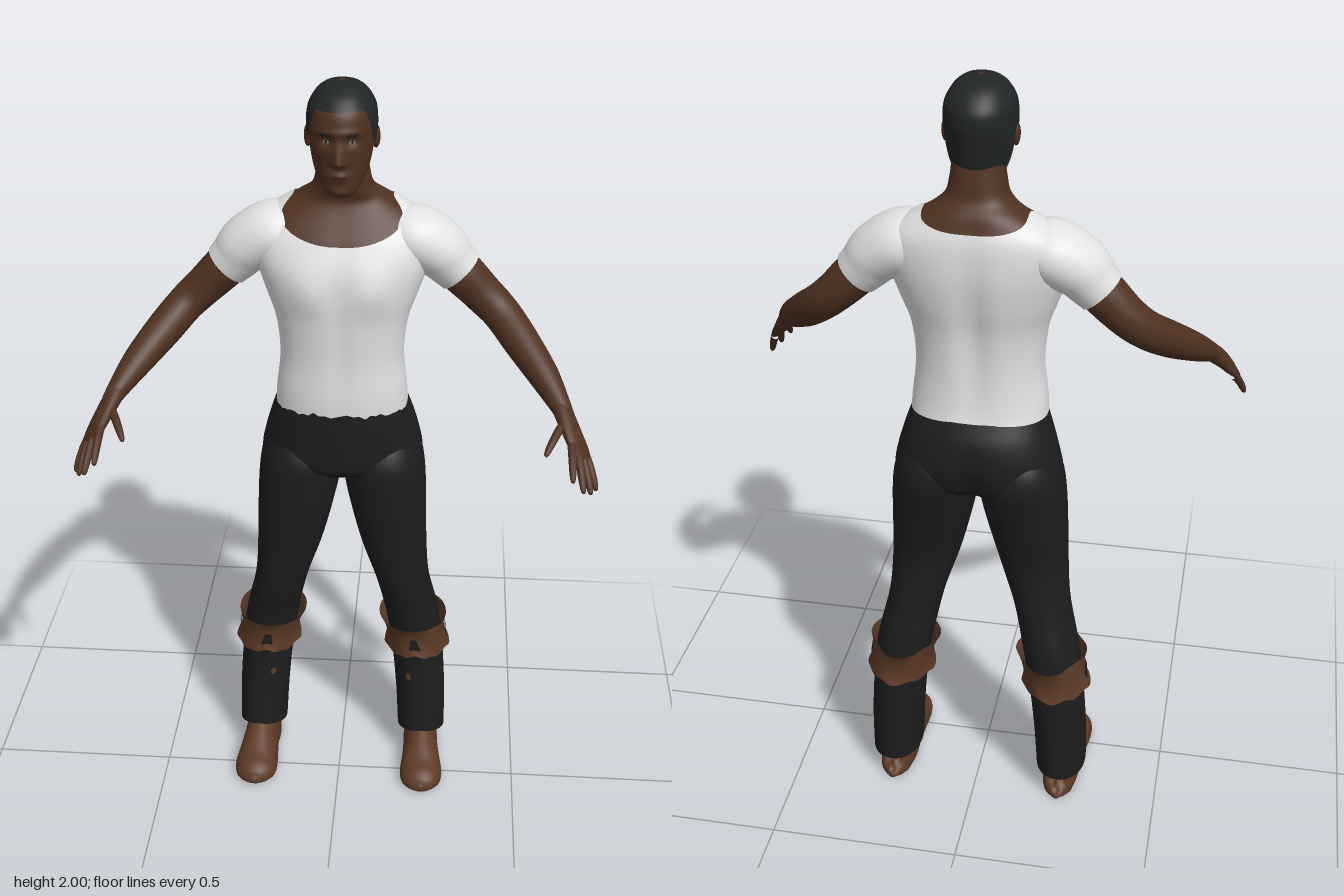
import * as THREE from 'three';

const mat = (name, color, side = THREE.FrontSide) => {
  const m = new THREE.MeshStandardMaterial({ color, side });
  m.name = name;
  return m;
};
const skin = mat('skin', 0x4f3121);
const white = mat('white cotton', 0xe2e2e2, THREE.DoubleSide);
const black = mat('black cloth', 0x1d1d1e, THREE.DoubleSide);
const hairMat = mat('hair', 0x222526);
const leather = mat('brown leather', 0x5c3a27, THREE.DoubleSide);
const lip = mat('lips', 0x3c2219);
const eyeMat = mat('eyes', 0x8d7c6c);

const TAU = Math.PI * 2;
const bell = (d, w) => Math.exp(-(d / w) * (d / w));
const spow = (c, e) => Math.sign(c) * Math.abs(c) ** e;
const pos = (v) => Math.max(0, v);

// Closed-round grid from fn(u, v) -> [x, y, z]; sx = -1 mirrors it
function grid(name, material, fn, nu, nv, sx = 1) {
  const p = [], idx = [];
  for (let j = 0; j <= nv; j++) for (let i = 0; i < nu; i++) {
    const [x, y, z] = fn(i / nu, j / nv);
    p.push(x * sx, y, z);
  }
  for (let j = 0; j < nv; j++) for (let i = 0; i < nu; i++) {
    const a = j * nu + i, b = j * nu + (i + 1) % nu, c = b + nu, d = a + nu;
    if (sx > 0) idx.push(a, b, d, b, c, d);
    else idx.push(a, d, b, b, d, c);
  }
  const g = new THREE.BufferGeometry();
  g.setAttribute('position', new THREE.Float32BufferAttribute(p, 3));
  g.setIndex(idx);
  g.computeVertexNormals();
  const mesh = new THREE.Mesh(g, material);
  mesh.name = name;
  return mesh;
}

// Smooth curve through rows of numbers; key(k) is the parameter of row k
function spline(S, t, key) {
  const n = S.length - 1;
  let k = 0;
  while (k < n - 1 && t > key(k + 1)) k++;
  const h = key(k + 1) - key(k), s = THREE.MathUtils.clamp((t - key(k)) / h, 0, 1);
  const slope = (m, c) => {
    const a = Math.max(0, m - 1), b = Math.min(n, m + 1);
    return (S[b][c] - S[a][c]) / (key(b) - key(a));
  };
  return S[0].map((_, c) => {
    const s2 = s * s, s3 = s2 * s;
    return S[k][c] * (2 * s3 - 3 * s2 + 1) + S[k + 1][c] * (3 * s2 - 2 * s3)
      + h * (slope(k, c) * (s3 - 2 * s2 + s) + slope(k + 1, c) * (s3 - s2));
  });
}

// Upright surface from rows [y, xMin, xMax, zFront, zBack], angle 0 at the front
const upright = (S, e, sculpt) => (th, y, off = 0) => {
  const [, x0, x1, zf, zb] = spline(S, y, (k) => S[k][0]);
  const x = (x0 + x1) / 2 + ((x1 - x0) / 2 + off) * spow(Math.sin(th), e);
  const z = (zf + zb) / 2 + ((zf - zb) / 2 + off) * spow(Math.cos(th), e);
  return [x, y, z + (sculpt ? sculpt(x, y, Math.cos(th)) : 0)];
};
const wrap = (name, m, surf, lo, hi, off, nv, sx = 1, ease = (v) => v) =>
  grid(name, m, (u, v) => {
    const th = u * TAU, a = lo(th), b = hi(th);
    return surf(th, a + (b - a) * ease(v), off);
  }, 72, nv, sx);

// Thin patch lying on an upright surface
function decal(name, m, surf, th, y, dth, dy, sides, off, sx = 1) {
  const g = new THREE.CircleGeometry(1, sides), p = g.attributes.position;
  for (let i = 0; i < p.count; i++) {
    const q = surf(th + p.getX(i) * dth, y + p.getY(i) * dy, off);
    p.setXYZ(i, q[0] * sx, q[1], q[2]);
  }
  if (sx < 0) g.index.array.reverse();
  g.computeVertexNormals();
  const mesh = new THREE.Mesh(g, m);
  mesh.name = name;
  return mesh;
}

// Limb through rows [x, y, z, sideways radius, other radius]
function limb(name, m, S, sx, nu = 20, nv = 24, up = [0, 1, 0], floor) {
  const n = S.length - 1, at = (t) => spline(S, t, (k) => k), U = new THREE.Vector3(...up);
  return grid(name, m, (u, v) => {
    const t = v * n, q = at(t);
    const a = new THREE.Vector3(...at(Math.max(0, t - 0.05)));
    const tan = new THREE.Vector3(...at(Math.min(n, t + 0.05))).sub(a).normalize();
    const side = new THREE.Vector3().crossVectors(tan, U).normalize();
    const nor = new THREE.Vector3().crossVectors(side, tan);
    const c = new THREE.Vector3(q[0], q[1], q[2])
      .addScaledVector(side, Math.cos(u * TAU) * q[3])
      .addScaledVector(nor, -Math.sin(u * TAU) * q[4]);
    if (floor) c.y = Math.max(c.y, floor(c.z));
    return c.toArray();
  }, nu, nv, sx);
}

const sym = (rows) => rows.map(([y, r, f, b]) => [y, -r, r, f, b]);

// Chest muscles and spine groove
const torso = upright(sym([
  [1.13, .168, 0, -.245], [1.2, .163, .002, -.228], [1.3, .153, 0, -.222], [1.4, .163, .004, -.228],
  [1.48, .19, .006, -.243], [1.55, .213, -.002, -.252], [1.61, .222, -.028, -.252],
  [1.65, .2, -.055, -.247], [1.68, .155, -.075, -.236], [1.705, .11, -.085, -.225],
  [1.73, .078, -.075, -.205], [1.77, .066, -.07, -.195], [1.82, .06, -.075, -.185],
]), .88, (x, y, c) => c > 0
  ? c * (.012 * bell(Math.abs(x) - .085, .05) * bell(y - 1.5, .055) - .006 * bell(x, .02) * bell(y - 1.4, .2))
  : -c * .016 * bell(x, .035) * bell(y - 1.42, .2));

// Nose, brow, eye sockets, lips and cheekbones
const head = upright(sym([
  [1.742, .02, -.012, -.06], [1.75, .04, .002, -.1], [1.77, .055, .008, -.15], [1.8, .067, .008, -.182],
  [1.83, .074, .008, -.19], [1.87, .079, .01, -.2], [1.9, .081, .012, -.207], [1.94, .077, .004, -.204],
  [1.97, .061, -.02, -.18], [1.985, .046, -.043, -.157], [1.995, .027, -.068, -.13], [2, 0, -.1, -.1],
]), .94, (x, y, c) => {
  if (c <= 0) return 0;
  const ramp = y > 1.833 ? pos(1 - (y - 1.833) / .06) : pos(1 - (1.833 - y) / .016);
  const ax = Math.abs(x);
  return c * (.026 * bell(x, .013 + .004 * ramp) * ramp - .009 * bell(ax - .03, .016) * bell(y - 1.883, .012)
    + .004 * bell(y - 1.903, .01) + .008 * bell(x, .024) * bell(y - 1.797, .013)
    + .004 * bell(ax - .05, .02) * bell(y - 1.855, .018) + .006 * bell(x, .025) * bell(y - 1.76, .014));
});

const pelvis = upright(sym([
  [.93, .015, -.1, -.16], [.95, .11, -.05, -.215], [.98, .195, -.01, -.255], [1.0, .212, -.003, -.266],
  [1.05, .205, 0, -.275], [1.12, .185, .002, -.264], [1.175, .166, 0, -.238],
]), .9, (x, y, c) => (c < 0 ? .02 * bell(x, .025) * bell(y - 1.0, .07) : 0));

const leg = upright([
  [.07, .165, .3, -.04, -.242], [.2, .157, .297, -.055, -.245], [.35, .142, .286, -.068, -.245],
  [.46, .125, .272, -.062, -.247], [.6, .095, .241, -.036, -.225], [.73, .053, .231, -.025, -.213],
  [.85, .022, .227, -.012, -.235], [.94, .004, .222, -.005, -.255], [1.0, .002, .213, -.006, -.267],
  [1.06, .03, .19, -.035, -.25], [1.12, .07, .14, -.08, -.2],
], .92);

const collar = (th) => 1.7 - .09 * pos(Math.cos(th)) ** 2 - .03 * pos(-Math.cos(th)) ** 2;
const hem = (th) => 1.15 + pos(Math.cos(th)) * (.012 + .008 * Math.sin(th * 23) * Math.cos(th * 9));
const hairline = (th) => {
  const a = Math.abs(th > Math.PI ? th - TAU : th), s = THREE.MathUtils.smoothstep;
  return 1.95 - .085 * s(a, .75, 1.25) - .065 * s(a, 1.6, 2.1);
};

function addSide(g, s) {
  const add = (...m) => g.add(...m);
  // Sleeve, arm and hand
  add(limb('sleeve', white, [[.1, 1.615, -.145, .07, .05], [.17, 1.605, -.142, .093, .076],
    [.235, 1.57, -.14, .084, .074], [.27, 1.534, -.14, .07, .065], [.293, 1.51, -.14, .062, .06]], s, 32));
  add(limb('arm', skin, [[.22, 1.58, -.14, .05, .05], [.29, 1.513, -.14, .057, .055], [.35, 1.453, -.138, .053, .05],
    [.4, 1.408, -.118, .048, .047], [.45, 1.36, -.06, .046, .045], [.505, 1.307, .015, .039, .037],
    [.545, 1.262, .08, .027, .026], [.562, 1.24, .11, .022, .02]], s, 24, 40));
  const back = [.7, .68, .13];
  add(limb('palm', skin, [[.54, 1.268, .07, .022, .02], [.555, 1.248, .1, .028, .022], [.574, 1.218, .135, .036, .019],
    [.594, 1.185, .165, .04, .015], [.604, 1.17, .182, .03, .009], [.607, 1.166, .187, .002, .002]], s, 20, 20, back));
  const fingers = [[.574, 1.208, .17, .577, 1.148, .267], [.588, 1.192, .17, .605, 1.118, .264],
    [.601, 1.176, .163, .625, 1.1, .238], [.611, 1.163, .15, .641, 1.09, .202], [.558, 1.236, .125, .51, 1.195, .226]];
  for (const [x, y, z, X, Y, Z] of fingers) {
    const mix = (t, r, lift = 0) => [x + (X - x) * t, y + (Y - y) * t + lift, z + (Z - z) * t, r, r];
    add(limb('finger', skin, [mix(0, .011), mix(.4, .0105, .006), mix(.75, .009, .004), mix(.95, .006), mix(1, .001)], s, 10, 12, back));
  }
  // Trouser leg, knee band, patches
  add(wrap('trouserLeg', black, leg, (th) => .07 + .035 * pos(Math.cos(th)), () => 1.12, 0, 48, s));
  add(grid('kneeBand', leather, (u, v) => {
    const th = u * TAU, w = Math.cos(4 * th);
    const lo = .362 - .01 * w * w + .022 * bell(Math.sin(th / 2), .09), hi = .457 + .006 * Math.cos(3 * th);
    return leg(th, lo + (hi - lo) * v, .009 + .012 * (2 * v - 1) ** 2 * (.6 + .4 * w));
  }, 72, 8, s));
  add(decal('bandGap', black, leg, 0, .392, .16, .038, 6, .014, s));
  add(decal('bandHole', black, leg, Math.PI / 2, .4, .2, .036, 4, .014, s));
  add(decal('shinPatch', leather, leg, -.35, .285, .12, .012, 6, .003, s));
  // Shoe with a flat sole and a notch before the heel
  add(limb('shoe', leather, [[.232, .03, -.224, .003, .01], [.232, .025, -.212, .036, .06], [.232, .02, -.15, .048, .1],
    [.234, .02, -.08, .05, .098], [.236, .018, -.03, .054, .08], [.238, .016, .03, .06, .052],
    [.238, .016, .07, .052, .04], [.238, .018, .094, .03, .024], [.238, .02, .104, .002, .003]], s, 32, 48, [0, 1, 0],
  (z) => (z > -.09 && z < -.055 ? .014 : z > .05 ? .008 : 0)));
  // Ear, eye and brow
  const ear = new THREE.Mesh(new THREE.SphereGeometry(1, 16, 12), skin);
  ear.name = 'ear';
  ear.scale.set(.01, .028, .018);
  ear.position.set(.081 * s, 1.865, -.1);
  add(ear);
  add(decal('eye', eyeMat, head, .36, 1.882, .1, .005, 10, .002, s));
  add(decal('pupil', hairMat, head, .36, 1.882, .045, .005, 8, .003, s));
  add(decal('brow', hairMat, head, .38, 1.9, .19, .0045, 8, .003, s));
}

export function createModel() {
  const g = new THREE.Group();
  g.name = 'standingMan';
  g.add(wrap('shirt', white, torso, hem, collar, .005, 48));
  g.add(wrap('neckAndChest', skin, torso, (th) => collar(th) - .03, () => 1.82, 0, 28));
  g.add(wrap('head', skin, head, () => 1.742, () => 2, -.001, 90, 1, (v) => Math.sin(v * Math.PI / 2)));
  g.add(wrap('hair', hairMat, head, hairline, () => 1.9995, .004, 32, 1, (v) => Math.sin(v * Math.PI / 2)));
  g.add(wrap('trouserSeat', black, pelvis, () => .93, () => 1.175, 0, 28));
  g.add(decal('mouth', lip, head, 0, 1.796, .28, .007, 12, .002));
  for (const s of [1, -1]) addSide(g, s);
  return g;
}
